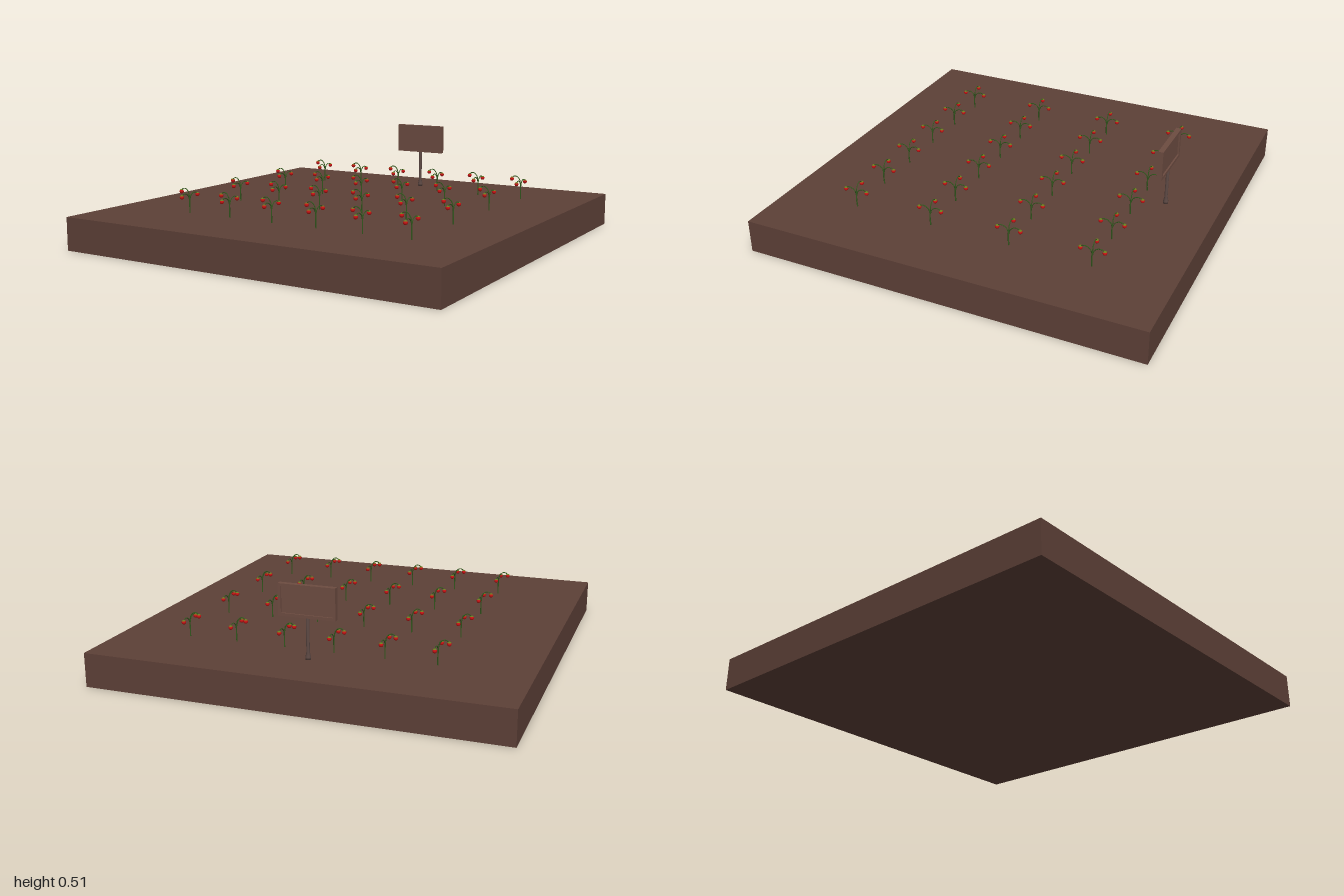
import * as THREE from 'three';

const mat = (color) => new THREE.MeshStandardMaterial({ color });
const soil = mat(0x5d4037), wood = mat(0x6d4c41), darkWood = mat(0x5d4944);
const green = mat(0x33591e), leafGreen = mat(0x6b7a1e), red = mat(0xc81414);

function add(parent, name, geometry, material, x = 0, y = 0, z = 0) {
  const mesh = new THREE.Mesh(geometry, material);
  mesh.name = name;
  mesh.position.set(x, y, z);
  parent.add(mesh);
  return mesh;
}

const tube = (points, radius) => new THREE.TubeGeometry(
  new THREE.CatmullRomCurve3(points.map((p) => new THREE.Vector3(...p))), 12, radius, 6);

// Plant parts, shared by every plant; origin at the foot of the stem
const stemGeo = tube([[0, -0.005, 0], [0.001, 0.04, 0.002], [0, 0.085, 0]], 0.0032);
const topBranchGeo = tube([[0, 0.07, 0], [-0.006, 0.1, 0], [-0.022, 0.118, 0], [-0.04, 0.118, 0], [-0.05, 0.108, 0]], 0.0024);
const sideBranch = (s) => tube([[0, 0.06, 0], [0, 0.086, s * 0.01], [0, 0.098, s * 0.028], [0, 0.097, s * 0.048], [0, 0.09, s * 0.058]], 0.0024);
const sideBranchGeos = [sideBranch(1), sideBranch(-1)];
const fruitGeo = new THREE.SphereGeometry(0.0105, 12, 8);
const capGeo = new THREE.SphereGeometry(0.0112, 10, 4, 0, Math.PI * 2, 0, Math.PI * 0.3);

function createPlant() {
  const plant = new THREE.Group();
  plant.name = 'plant';
  add(plant, 'stem', stemGeo, green);
  add(plant, 'topBranch', topBranchGeo, green);
  sideBranchGeos.forEach((g) => add(plant, 'sideBranch', g, green));
  for (const [x, y, z] of [[-0.05, 0.103, 0], [0, 0.085, 0.058], [0, 0.085, -0.058]]) {
    add(plant, 'fruit', fruitGeo, red, x, y, z);
    add(plant, 'fruitCap', capGeo, leafGreen, x, y, z);
  }
  return plant;
}

function createSign() {
  const sign = new THREE.Group();
  sign.name = 'sign';
  // Post with a flared foot
  const profile = [[0, 0], [0.013, 0], [0.013, 0.012], [0.008, 0.034], [0.008, 0.2], [0, 0.2]];
  add(sign, 'post', new THREE.LatheGeometry(profile.map((p) => new THREE.Vector2(...p)), 12), darkWood, 0, 0.165, 0);
  // Board with a raised rim around its rear face
  add(sign, 'board', new THREE.BoxGeometry(0.274, 0.15, 0.018), wood, 0, 0.435, 0.004);
  const rim = new THREE.Shape([[-0.137, -0.075], [0.137, -0.075], [0.137, 0.075], [-0.137, 0.075]].map((p) => new THREE.Vector2(...p)));
  rim.holes.push(new THREE.Path([[-0.123, -0.061], [-0.123, 0.061], [0.123, 0.061], [0.123, -0.061]].map((p) => new THREE.Vector2(...p))));
  add(sign, 'boardRim', new THREE.ExtrudeGeometry(rim, { depth: 0.008, bevelEnabled: false }), wood, 0, 0.435, -0.013);
  sign.position.set(0.003, 0, -0.736);
  return sign;
}

export function createModel() {
  const model = new THREE.Group();
  model.name = 'vegetablePatch';
  add(model, 'soilBed', new THREE.BoxGeometry(2, 0.165, 2), soil, 0, 0.0825, 0);

  // Four rows of six plants
  for (let row = 0; row < 4; row++) {
    for (let col = 0; col < 6; col++) {
      const plant = createPlant();
      plant.position.set(-0.565 + col * 0.2455, 0.165, -0.615 + row * 0.4075);
      model.add(plant);
    }
  }
  model.add(createSign());
  return model;
}
